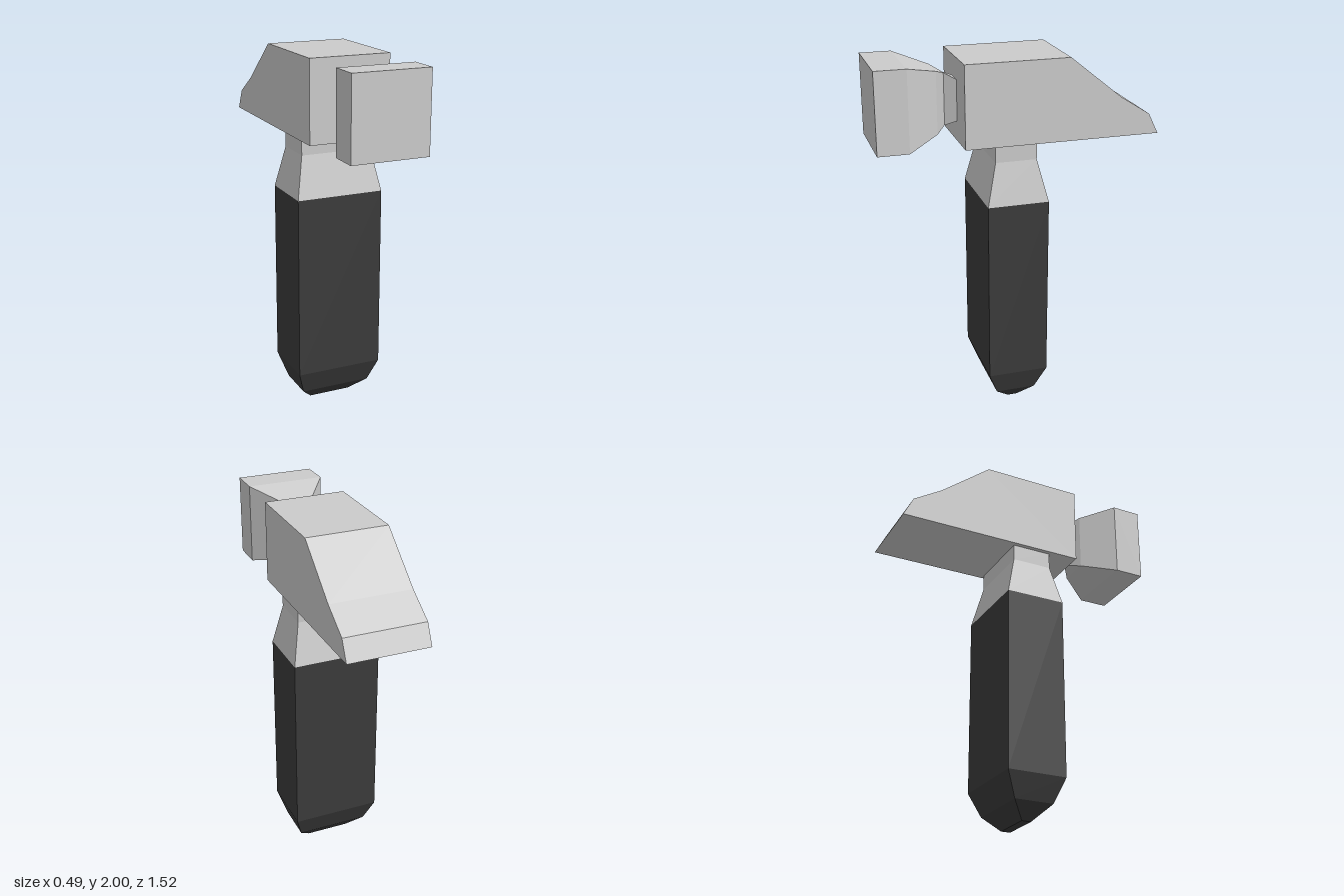
import * as THREE from 'three';

const steel = new THREE.MeshStandardMaterial({ color: 0xcccccc, flatShading: true });
const rubber = new THREE.MeshStandardMaterial({ color: 0x3b3b3b, flatShading: true });

// Rectangular cross-sections [y, halfWidthX, zMin, zMax] joined upwards and capped
function loft(sections) {
  const rings = sections.map(([y, w, z0, z1]) => [[-w, y, z1], [w, y, z1], [w, y, z0], [-w, y, z0]]);
  const pos = [];
  const quad = (a, b, c, d) => pos.push(...a, ...b, ...c, ...a, ...c, ...d);
  for (let k = 0; k < rings.length - 1; k++) {
    for (let i = 0; i < 4; i++) {
      const j = (i + 1) % 4;
      quad(rings[k][i], rings[k][j], rings[k + 1][j], rings[k + 1][i]);
    }
  }
  const first = rings[0], last = rings[rings.length - 1];
  quad(first[3], first[2], first[1], first[0]);
  quad(last[0], last[1], last[2], last[3]);
  const geo = new THREE.BufferGeometry();
  geo.setAttribute('position', new THREE.Float32BufferAttribute(pos, 3));
  geo.computeVertexNormals();
  return geo;
}

export function createModel() {
  const hammer = new THREE.Group();
  hammer.name = 'hammer';
  const add = (name, geo, mat) => {
    const mesh = new THREE.Mesh(geo, mat);
    mesh.name = name;
    hammer.add(mesh);
  };

  // Dark grip, tapering to a small butt
  add('grip', loft([
    [0, 0.12, 0.0, 0.053],
    [0.085, 0.2, -0.08, 0.142],
    [0.22, 0.245, -0.139, 0.196],
    [1.235, 0.245, -0.139, 0.196],
  ]), rubber);

  // Metal shaft between grip and head
  add('shaft', loft([
    [1.235, 0.245, -0.139, 0.196],
    [1.465, 0.2, -0.083, 0.142],
    [1.56, 0.2, -0.083, 0.142],
  ]), steel);

  // Head with a sloping wedge at the back, profile drawn in (-z, y)
  const profile = new THREE.Shape([
    [-0.307, 1.556], [0.757, 1.556], [0.702, 1.667],
    [0.54, 1.77], [0.255, 2], [-0.307, 2],
  ].map(([x, y]) => new THREE.Vector2(x, y)));
  const head = new THREE.ExtrudeGeometry(profile, { depth: 0.45, bevelEnabled: false });
  head.translate(0, 0, -0.225).rotateY(Math.PI / 2);
  add('head', head, steel);

  // Striking face with a pinched neck, lofted upright then tipped forward (z becomes -y)
  const face = loft([
    [0.305, 0.055, -1.885, -1.665],
    [0.365, 0.012, -1.915, -1.635],
    [0.42, 0.085, -1.943, -1.61],
    [0.593, 0.212, -1.996, -1.56],
    [0.76, 0.212, -1.996, -1.56],
  ]).rotateX(Math.PI / 2);
  add('strikingFace', face, steel);

  return hammer;
}
